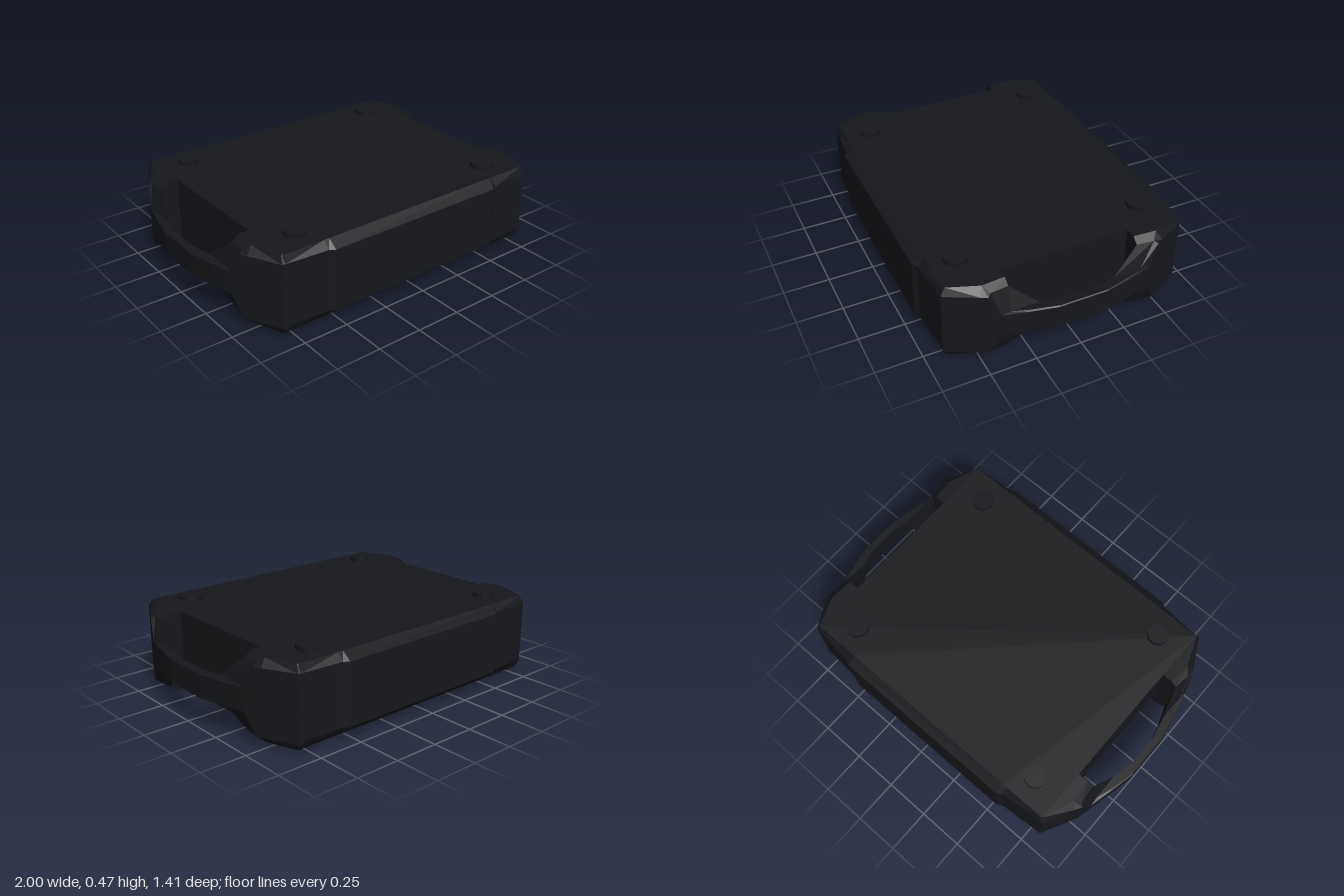
import * as THREE from 'three';

const mat = new THREE.MeshStandardMaterial({ color: 0x16171b, flatShading: true });

// Skin closed rings of [x, y, z] points, optionally capping both ends.
function loft(rings, capped) {
  const n = rings[0].length, index = [];
  for (let i = 0; i < rings.length - 1; i++) {
    for (let j = 0; j < n; j++) {
      const a = i * n + j, b = i * n + (j + 1) % n;
      index.push(a, b, b + n, a, b + n, a + n);
    }
  }
  if (capped) {
    const t = (rings.length - 1) * n;
    for (let k = 1; k < n - 1; k++) index.push(0, k + 1, k, t, t + k, t + k + 1);
  }
  const g = new THREE.BufferGeometry();
  g.setAttribute('position', new THREE.Float32BufferAttribute(rings.flat(2), 3));
  g.setIndex(index);
  const flat = g.toNonIndexed();
  flat.computeVertexNormals();
  return flat;
}

export function createModel() {
  const group = new THREE.Group();
  const add = (geometry, name, x = 0, y = 0, z = 0) => {
    const m = new THREE.Mesh(geometry, mat);
    m.name = name;
    m.position.set(x, y, z);
    group.add(m);
    return m;
  };

  // Central case: plan outline with raised front and back panels, chamfered above and below
  const half = [[-0.793, 0.667], [-0.56, 0.685], [-0.53, 0.703], [0.53, 0.703], [0.56, 0.685], [0.793, 0.667]];
  const outline = [...half, ...half.map(([x, z]) => [-x, -z])];
  const levels = [[0.015, 0.64], [0.07, 1], [0.41, 1], [0.45, 0.65]]; // height, depth limit
  const caseRings = levels.map(([y, lim]) =>
    outline.map(([x, z]) => [x, y, THREE.MathUtils.clamp(z, -lim, lim)]));
  add(loft(caseRings, true), 'case');

  // Side handle with corner blocks: inner edge, top chamfer edge, outer edge as x, y, z
  const stations = [
    [[0.78, 0.45, 0.355], [0.78, 0.45, 0.65], [0.78, 0.41, 0.667]],
    [[0.79, 0.45, 0.355], [0.80, 0.45, 0.64], [0.81, 0.41, 0.665]],
    [[0.85, 0.45, 0.355], [0.86, 0.45, 0.48], [0.895, 0.41, 0.50]],
    [[0.885, 0.42, 0.355], [0.895, 0.42, 0.45], [0.912, 0.41, 0.468]],
    [[0.93, 0.30, 0.21], [0.932, 0.30, 0.36], [0.935, 0.295, 0.41]],
    [[0.94, 0.30, 0.17], [0.962, 0.30, 0.27], [0.968, 0.295, 0.28]],
    [[0.957, 0.30, 0.09], [0.995, 0.30, 0.13], [1.0, 0.295, 0.135]],
  ];
  const frontRings = stations.map((s) =>
    [...s, ...[...s].reverse().map(([x, y, z]) => [x, 0.465 - y, z])]);
  const backRings = [...frontRings].reverse().map((r) => r.map(([x, y, z]) => [x, y, -z]));
  const handle = loft([...frontRings, ...backRings], false);
  add(handle, 'leftHandle');
  add(handle, 'rightHandle').rotation.y = Math.PI;

  // Round studs on top, slightly larger on the left
  for (const [x, r] of [[-0.635, 0.057], [0.63, 0.063]]) {
    for (const z of [-0.517, 0.511]) {
      add(new THREE.CylinderGeometry(r, r, 0.045, 20), 'topStud', x, 0.4525, z);
    }
  }

  // Round foot underneath
  add(new THREE.CylinderGeometry(0.203, 0.203, 0.03, 32), 'baseDisc', 0, 0.015, 0);
  return group;
}
